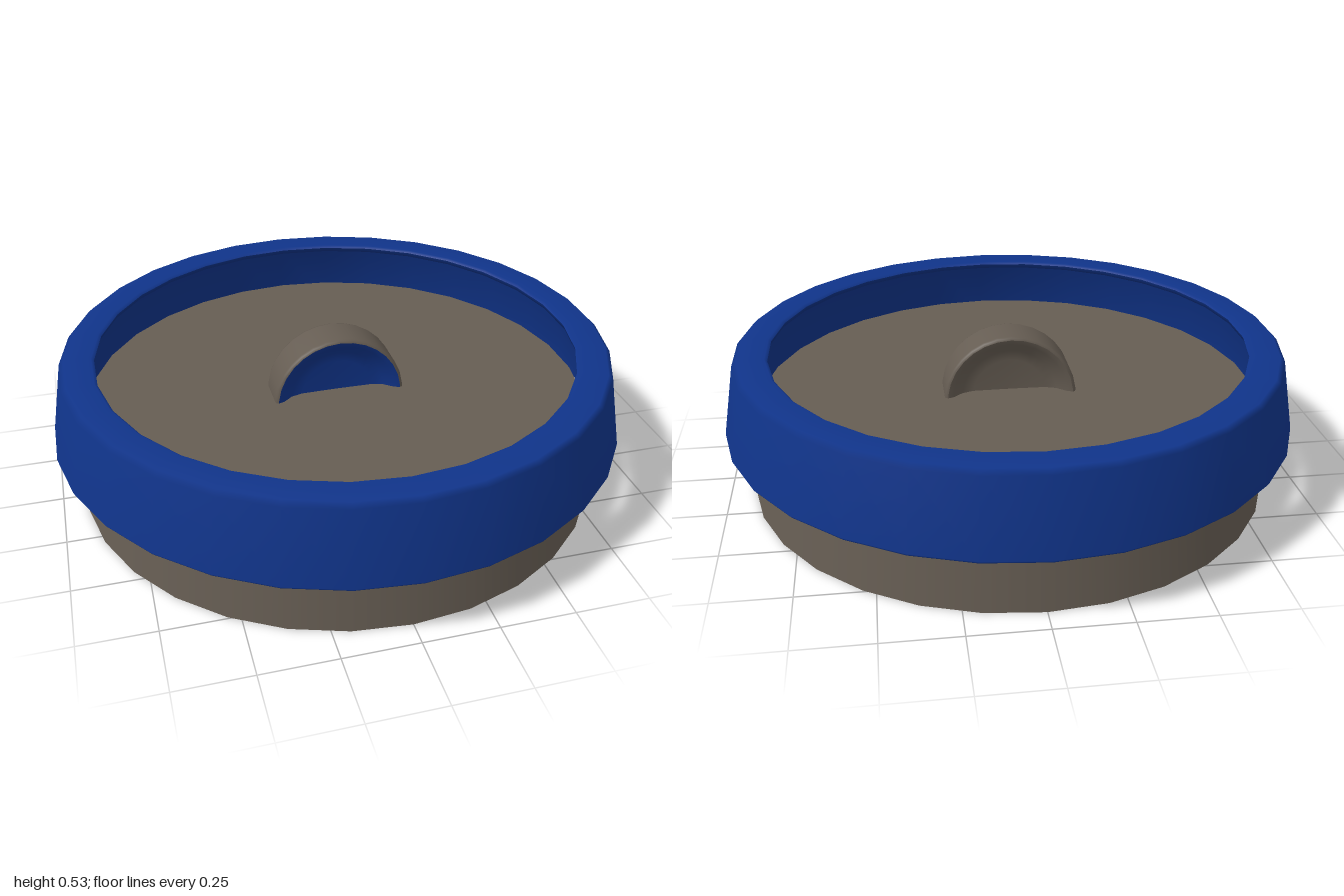
import * as THREE from 'three';

export function createModel() {
  const model = new THREE.Group();
  const blue = new THREE.MeshStandardMaterial({ color: 0x10348a, side: THREE.DoubleSide });
  blue.name = 'blue';
  const grey = new THREE.MeshStandardMaterial({ color: 0x665d53, side: THREE.DoubleSide });
  grey.name = 'warmGrey';

  // Revolve a [radius, height] profile; separate profiles keep edges sharp
  const lathe = (name, profile, material, parent, segments = 30) => {
    const points = profile.map(([r, y]) => new THREE.Vector2(r, y));
    const mesh = new THREE.Mesh(new THREE.LatheGeometry(points, segments), material);
    mesh.name = name;
    parent.add(mesh);
    return mesh;
  };

  // Open-bottomed base cup
  const base = new THREE.Group();
  base.name = 'base';
  lathe('baseWall', [[0.92, 0], [0.88, 0.312]], grey, base);
  lathe('baseTop', [[0.88, 0.312], [0, 0.312]], grey, base);

  // Floating collar with an inward lip
  const collar = new THREE.Group();
  collar.name = 'collar';
  lathe('collarOuter', [[0.995, 0.228], [1, 0.236], [0.954, 0.485], [0.938, 0.5], [0.845, 0.5], [0.835, 0.492]], blue, collar);
  lathe('collarInner', [[0.835, 0.492], [0.842, 0.475], [0.9, 0.465], [0.94, 0.228]], blue, collar);
  lathe('collarBottom', [[0.94, 0.228], [0.995, 0.228]], blue, collar);

  // Upright dished disc, set half through the base top
  const knob = new THREE.Group();
  knob.name = 'knob';
  lathe('knobRim', [[0.224, -0.072], [0.232, -0.069], [0.235, -0.06], [0.235, 0.06], [0.232, 0.069], [0.224, 0.072]], grey, knob);
  lathe('knobFront', [[0.224, 0.072], [0.205, 0.066], [0.17, 0.038], [0.13, 0.026], [0, 0.024]], blue, knob);
  lathe('knobBack', [[0, -0.02], [0.13, -0.022], [0.17, -0.036], [0.205, -0.066], [0.224, -0.072]], grey, knob);
  knob.rotation.x = Math.PI / 2;
  knob.position.set(0, 0.296, -0.008);

  model.add(base, collar, knob);
  return model;
}
